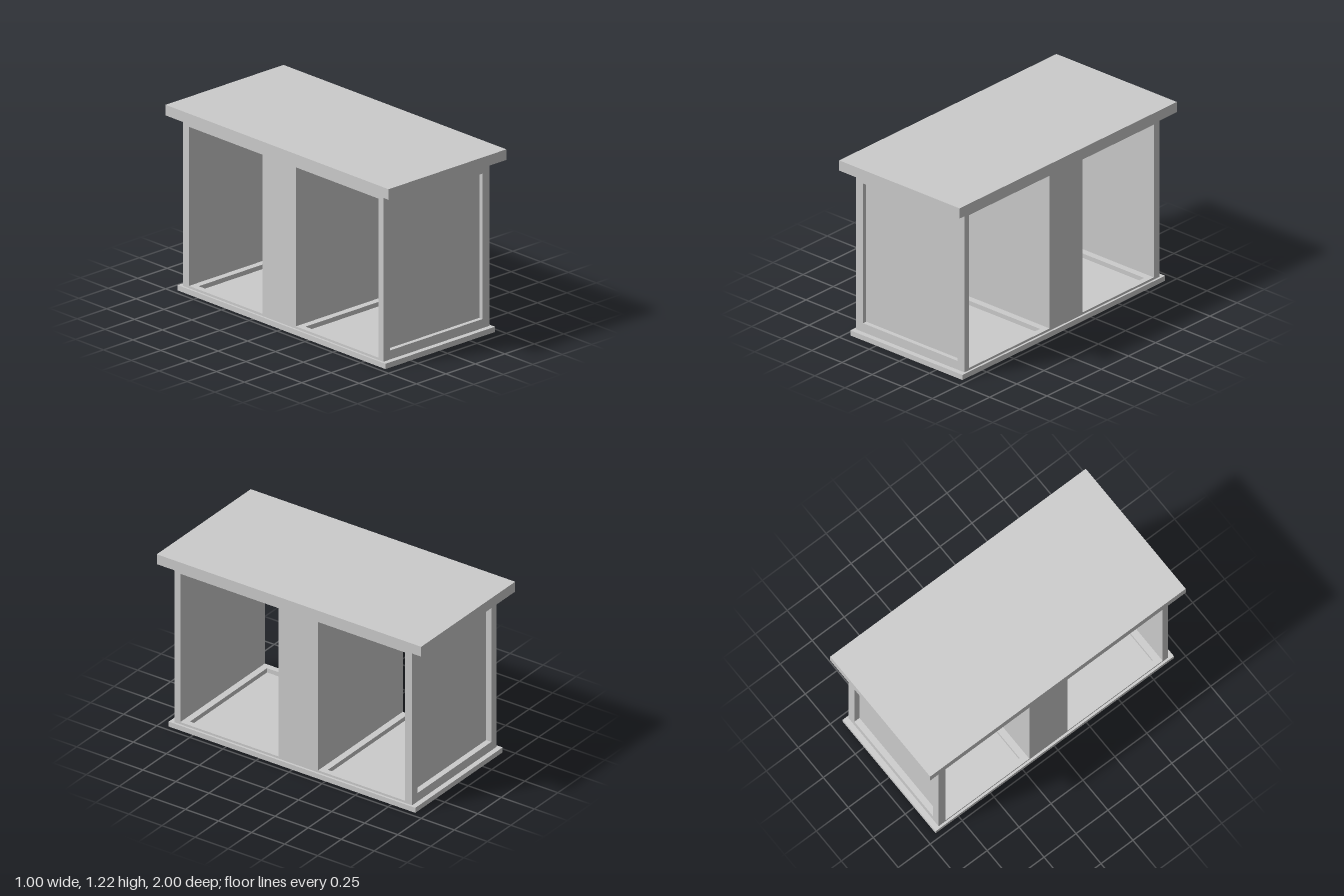
import * as THREE from 'three';

const material = new THREE.MeshStandardMaterial({ color: 0xcccccc, flatShading: true });

function add(group, name, geometry) {
  const mesh = new THREE.Mesh(geometry, material);
  mesh.name = name;
  group.add(mesh);
  return mesh;
}

// Box given by its [min, max] range on each axis
function box(group, name, [x0, x1], [y0, y1], [z0, z1]) {
  const mesh = add(group, name, new THREE.BoxGeometry(x1 - x0, y1 - y0, z1 - z0));
  mesh.position.set((x0 + x1) / 2, (y0 + y1) / 2, (z0 + z1) / 2);
  return mesh;
}

function rectangle(Type, [x0, x1], [y0, y1]) {
  return new Type([[x0, y0], [x1, y0], [x1, y1], [x0, y1]].map(p => new THREE.Vector2(...p)));
}

// Plate with rectangular holes, extruded along +z
function frame(xs, ys, holes, depth) {
  const shape = rectangle(THREE.Shape, xs, ys);
  for (const [hx, hy] of holes) shape.holes.push(rectangle(THREE.Path, hx, hy));
  return new THREE.ExtrudeGeometry(shape, { depth, bevelEnabled: false });
}

export function createModel() {
  const model = new THREE.Group();
  model.name = 'openCabinet';

  const W = 0.45, front = 0.9, back = -0.895;
  const floorY = 0.05, ceilingY = 1.1, topY = 1.145;
  const bays = [[0.115, 0.858], [-0.843, -0.185]];

  // Overhanging top and header under it
  box(model, 'top', [-0.5, 0.5], [topY, 1.215], [-1, 1]);
  box(model, 'header', [-W, W], [ceilingY, topY], [back, front]);

  // Base slab, with a shallow tray sunk into the floor of each bay
  const trayHoles = bays.map(([z0, z1]) => [[-0.41, 0.41], [-z1 + 0.045, -z0 - 0.045]]);
  box(model, 'baseSlab', [-0.465, 0.465], [0, 0.02], [-0.93, 0.935]);
  const plinth = add(model, 'basePlinth', frame([-0.465, 0.465], [-0.935, 0.93], trayHoles, 0.015));
  plinth.position.y = 0.02;
  const floor = add(model, 'floorFrame', frame([-W, W], [-front, -back], trayHoles, floorY - 0.035));
  floor.position.y = 0.035;
  for (const part of [plinth, floor]) part.rotation.x = -Math.PI / 2;

  // End walls, each with a recessed outer panel
  const panelHole = [[-0.393, 0.393], [0.095, 1.055]];
  const ends = [
    ['front', bays[0][1], front, 1],
    ['back', bays[1][0], back, -1],
  ];
  for (const [name, inner, outer, dir] of ends) {
    const panel = inner + dir * 0.012;
    box(model, name + 'Panel', [-W, W], [floorY, ceilingY], [Math.min(inner, panel), Math.max(inner, panel)]);
    const depth = Math.abs(outer - panel);
    const border = add(model, name + 'Frame', frame([-W, W], [floorY, ceilingY], [panelHole], depth));
    border.position.z = Math.min(panel, outer);
  }

  // Thick divider between the two open bays
  box(model, 'divider', [-W, W], [floorY, ceilingY], [-0.185, 0.115]);

  return model;
}
